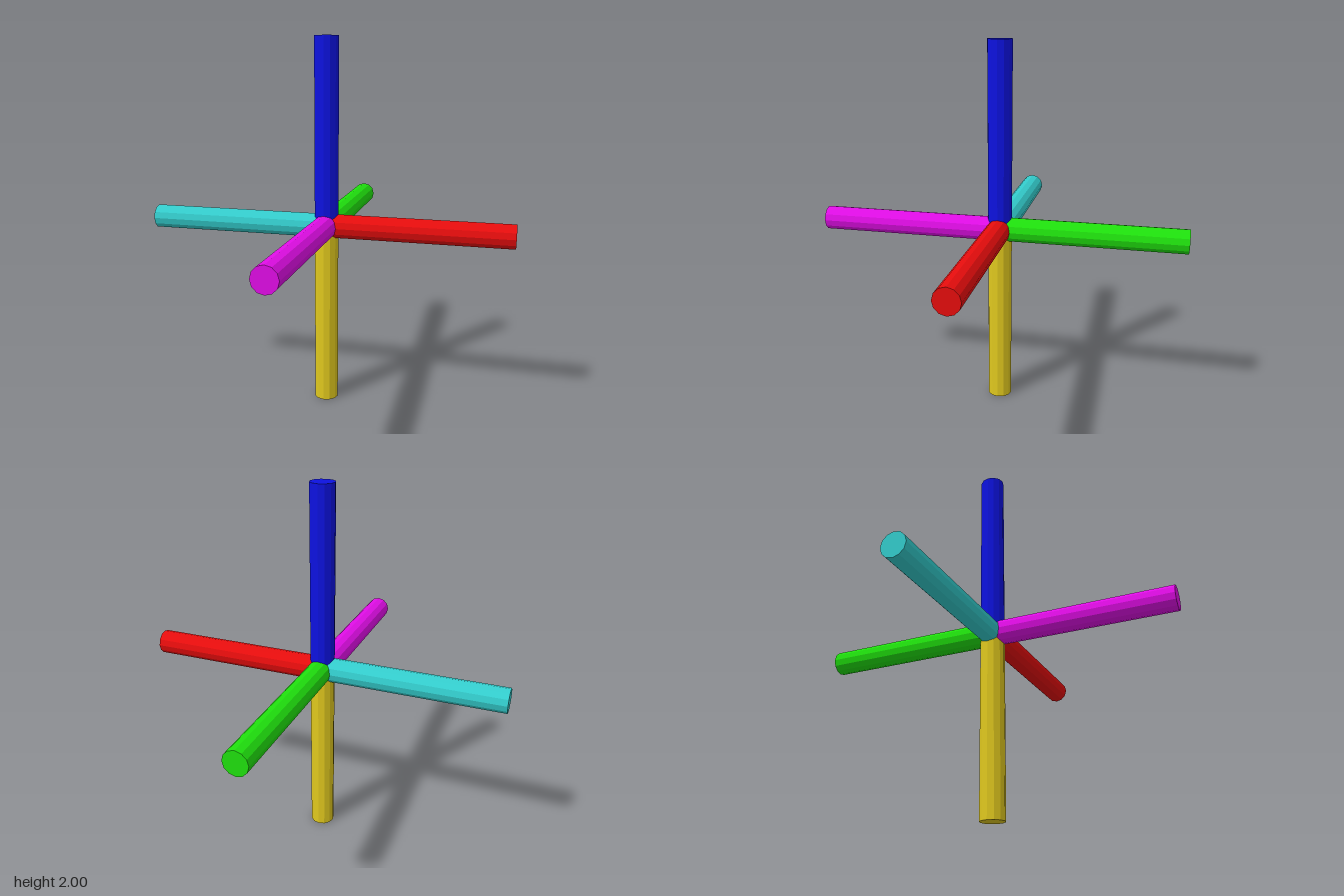
import * as THREE from 'three';

// Six coloured twelve-sided rods meeting at a centre point, one per axis direction
export function createModel() {
  const group = new THREE.Group();
  const radius = 0.066;
  const length = 1;

  // Rod runs along +y from the centre, then is turned to its own direction
  const rod = new THREE.CylinderGeometry(radius, radius, length, 12);
  rod.translate(0, length / 2, 0);

  const arms = [
    ['leftArm', 0xe60d0d, [0, 0, -Math.PI / 2]],
    ['rightArm', 0x33cccc, [0, 0, Math.PI / 2]],
    ['topArm', 0x0d12e0, [0, 0, 0]],
    ['bottomArm', 0xe0c81e, [Math.PI, 0, 0]],
    ['frontArm', 0xe00de6, [Math.PI / 2, 0, 0]],
    ['backArm', 0x1fe00d, [-Math.PI / 2, 0, 0]],
  ];

  for (const [name, color, rotation] of arms) {
    const material = new THREE.MeshStandardMaterial({ color, flatShading: true });
    const arm = new THREE.Mesh(rod, material);
    arm.name = name;
    arm.rotation.set(...rotation);
    arm.position.y = 1;
    group.add(arm);
  }
  return group;
}
